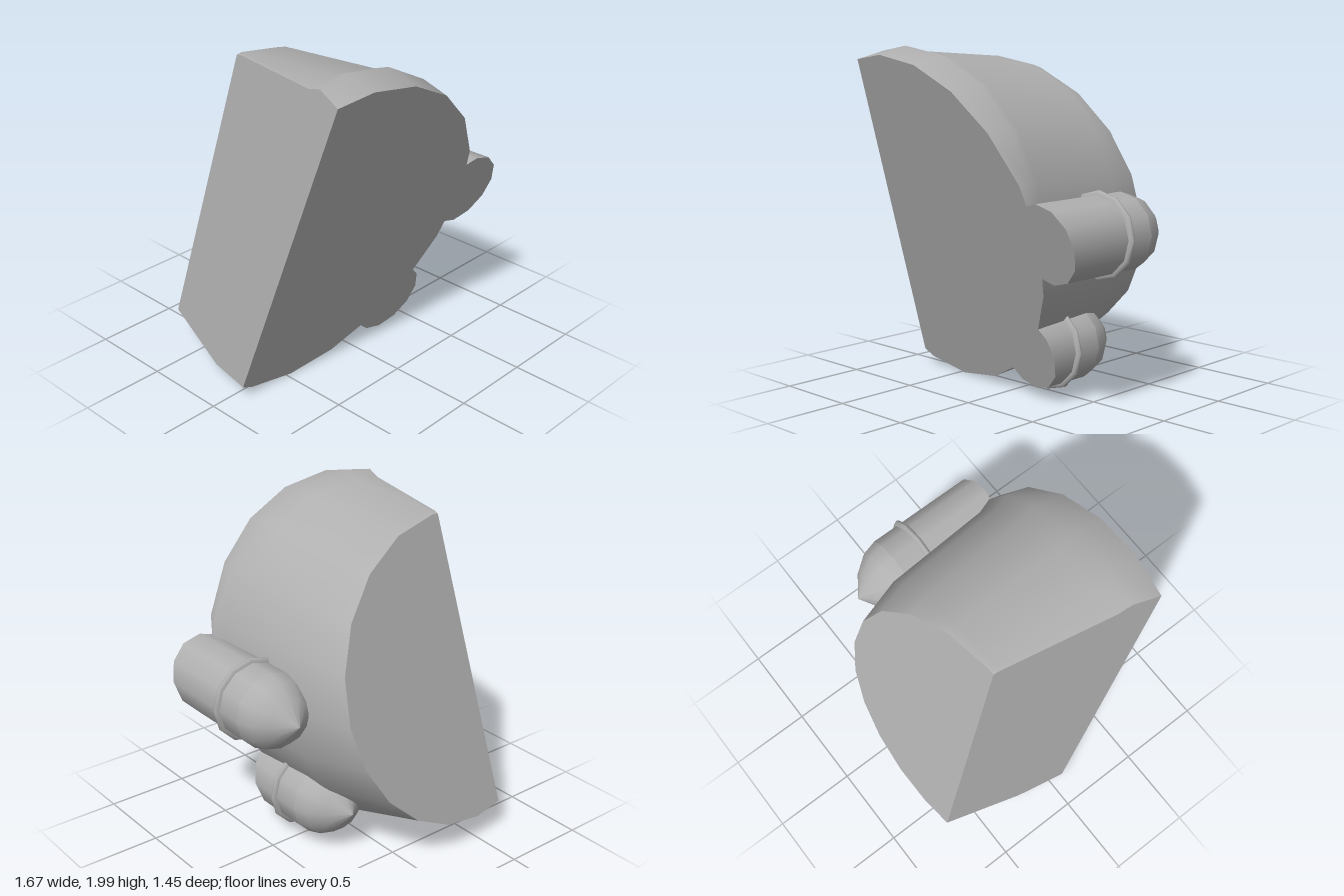
import * as THREE from 'three';
import { mergeVertices } from 'three/addons/utils/BufferGeometryUtils.js';

const grey = new THREE.MeshStandardMaterial({ color: 0xb0b0b0 });
grey.name = 'grey';

// Planes that trim the body: slanted front, back and left-hand side
const frontZ = (x, y) => 0.12 + 0.09 * x + 0.325 * y;
const backZ = (x, y) => -0.801 - 0.072 * x + 0.268 * y;
const sideX = (y, z) => -0.84 + 0.145 * (y - 0.08) - 0.208 * (z - 0.07);

// Body axis runs along z; profile is [z, radius]
const CX = -0.47, CY = 0.98, STEP = 18;
const profile = [[-0.75, 0.79], [-0.22, 0.95], [0.43, 0.99], [0.52, 1.02], [0.74, 0.965]];

function radiusAt(z) {
  for (let i = 1; i < profile.length; i++) {
    const [z0, r0] = profile[i - 1], [z1, r1] = profile[i];
    if (z <= z1 || i === profile.length - 1) return r0 + (r1 - r0) * (z - z0) / (z1 - z0);
  }
}

// Point on the 20-sided section at height z, angle in degrees
function sectionPoint(angle, z) {
  const k = Math.floor(angle / STEP), t = angle / STEP - k, r = radiusAt(z);
  const a = THREE.MathUtils.degToRad(k * STEP), b = THREE.MathUtils.degToRad((k + 1) * STEP);
  return new THREE.Vector3(
    CX + r * THREE.MathUtils.lerp(Math.cos(a), Math.cos(b), t),
    CY + r * THREE.MathUtils.lerp(Math.sin(a), Math.sin(b), t), z);
}

// The same point, stopped where the section meets the flat side
function trimmedPoint(angle, z) {
  const p = sectionPoint(angle, z);
  if (p.x >= sideX(p.y, z)) return p;
  let inside = Math.sign(angle) * 72, outside = angle;
  for (let i = 0; i < 30; i++) {
    const mid = (inside + outside) / 2, q = sectionPoint(mid, z);
    if (q.x >= sideX(q.y, z)) inside = mid; else outside = mid;
  }
  return sectionPoint(inside, z);
}

// Point where a lengthwise line of the body meets an end plane
function endPoint(angle, plane) {
  let z = 0;
  for (let i = 0; i < 30; i++) {
    const p = trimmedPoint(angle, z);
    z = plane(p.x, p.y);
  }
  return trimmedPoint(angle, z);
}

function addMesh(group, geometry, name) {
  const mesh = new THREE.Mesh(geometry, grey);
  mesh.name = name;
  group.add(mesh);
  return mesh;
}

// Flat face fanned from its centre, corners counter-clockwise
function capGeometry(points) {
  const centre = points.reduce((s, p) => s.add(p), new THREE.Vector3()).divideScalar(points.length);
  const corners = [];
  points.forEach((p, i) => corners.push(centre, p, points[(i + 1) % points.length]));
  const g = new THREE.BufferGeometry().setFromPoints(corners);
  g.computeVertexNormals();
  return g;
}

function createBody() {
  const body = new THREE.Group();
  body.name = 'body';
  const columns = [];
  for (let angle = -126; angle <= 126; angle += STEP) {
    const back = endPoint(angle, backZ), front = endPoint(angle, frontZ);
    const kinks = profile.slice(1, -1).map(([z]) =>
      z <= back.z ? back : z >= front.z ? front : trimmedPoint(angle, z));
    columns.push([back, ...kinks, front]);
  }
  const rows = columns[0].length, index = [];
  for (let i = 0; i < columns.length - 1; i++) {
    for (let j = 0; j < rows - 1; j++) {
      const a = i * rows + j, b = a + rows;
      index.push(a, b, b + 1, a, b + 1, a + 1);
    }
  }
  let shell = new THREE.BufferGeometry().setFromPoints(columns.flat());
  shell.setIndex(index);
  shell = mergeVertices(shell, 1e-4);
  shell.computeVertexNormals();
  addMesh(body, shell, 'curvedShell');

  const last = columns[columns.length - 1];
  addMesh(body, capGeometry(columns.map(c => c[rows - 1])), 'frontFace');
  addMesh(body, capGeometry(columns.map(c => c[0]).reverse()), 'backFace');
  addMesh(body, capGeometry([...columns[0], ...[...last].reverse()]), 'flatSide');
  return body;
}

// Twelve-sided turned shape along z; points are [radius, z]
function turned(points, x, y) {
  const g = new THREE.LatheGeometry(points.map(([r, z]) => new THREE.Vector2(r, z)), 12);
  return g.rotateX(Math.PI / 2).translate(x, y, 0);
}

// Round lug: shaft cut by the front plane, collar ring and pointed dome
function createLug(x, y, name) {
  const lug = new THREE.Group();
  lug.name = name;
  const R = 0.225;
  const shaft = turned([[R, -0.12], [R, 1]], x, y);
  const pos = shaft.attributes.position;
  for (let i = 0; i < pos.count; i++) {
    if (pos.getZ(i) > 0.5) pos.setZ(i, frontZ(pos.getX(i), pos.getY(i)));
  }
  addMesh(lug, shaft, 'shaft');
  addMesh(lug, turned([[0, -0.39], [0.13, -0.3], [0.2, -0.21], [R, -0.12]], x, y), 'dome');
  addMesh(lug, turned([[R - 0.01, 0.04], [0.238, 0.043], [0.25, 0.054], [0.25, 0.066],
    [0.238, 0.077], [R - 0.01, 0.08]], x, y), 'collar');
  const rim = [];
  for (let i = 0; i < 12; i++) {
    const a = i * Math.PI / 6, px = x + R * Math.cos(a), py = y + R * Math.sin(a);
    rim.push(new THREE.Vector3(px, py, frontZ(px, py)));
  }
  addMesh(lug, capGeometry(rim), 'frontFace');
  return lug;
}

export function createModel() {
  const model = new THREE.Group();
  model.name = 'model';
  model.add(createBody(), createLug(0.58, 0.98, 'upperLug'), createLug(0.21, 0.295, 'lowerLug'));
  return model;
}
